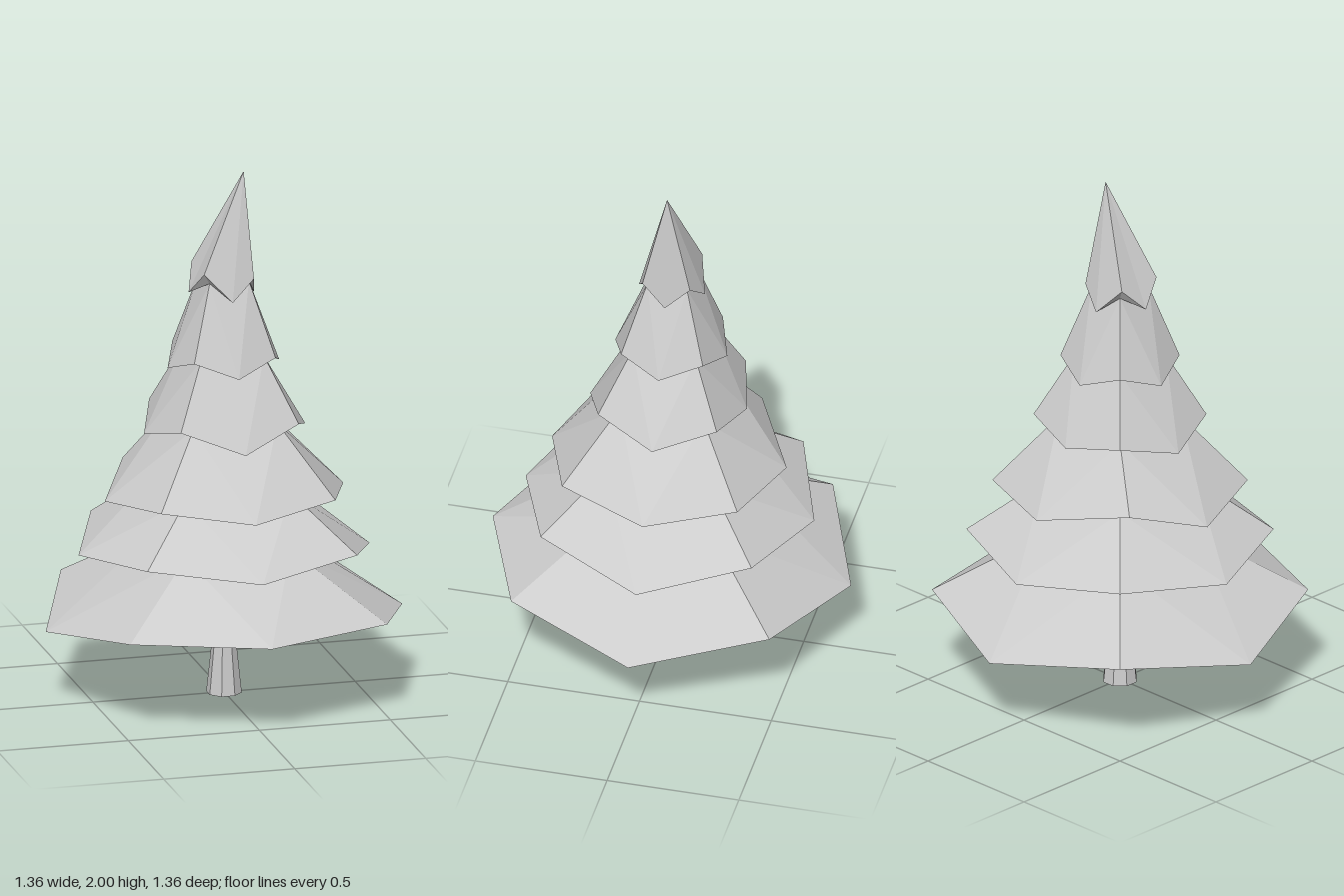
import * as THREE from 'three';

const material = new THREE.MeshStandardMaterial({ color: 0xcccccc, flatShading: true });

// Each tier: tips point along +x, +z, -x, -z; corners lie on the diagonals between them.
// r / y: reach and height of the four tips; c: [x, z, y] of the four corners;
// top: half-width and height of the square neck where the next tier begins.
const square = (s, y) => [[s, s, y], [-s, s, y], [-s, -s, y], [s, -s, y]];
const tiers = [
  { r: [0.68, 0.68, 0.68, 0.68], y: [0.285, 0.365, 0.285, 0.29], c: square(0.49, 0.365), top: [0.2, 0.59] },
  { r: [0.555, 0.555, 0.555, 0.54], y: [0.53, 0.575, 0.57, 0.565], c: square(0.4, 0.612), top: [0.2, 0.81] },
  { r: [0.455, 0.455, 0.455, 0.435], y: [0.77, 0.775, 0.77, 0.79],
    c: [[0.335, 0.335, 0.81], [-0.33, 0.335, 0.81], [-0.315, -0.265, 0.85], [0.335, -0.33, 0.81]], top: [0.16, 1.07] },
  { r: [0.31, 0.31, 0.305, 0.285], y: [1.01, 1.0, 1.02, 1.035], c: square(0.225, 1.08), top: [0.12, 1.32] },
  { r: [0.21, 0.215, 0.215, 0.21], y: [1.265, 1.265, 1.265, 1.265], c: square(0.155, 1.32), top: [0.075, 1.6] },
  { r: [0.115, 0.125, 0.135, 0.125], y: [1.53, 1.535, 1.55, 1.535],
    c: [[0.09, 0.09, 1.61], [-0.1, 0.09, 1.64], [-0.1, -0.09, 1.64], [0.09, -0.09, 1.61]], top: null },
];
const apex = [0.075, 2, 0];
const baseCentre = [0, 0.36, 0];

// Square neck corners, or one repeated point for a closed end
const neck = (top, point) => (top
  ? square(top[0], top[1]).map(([x, z, y]) => [x, y, z])
  : [point, point, point, point]);

function tierGeometry(tier, below) {
  const dirs = [[1, 0], [0, 1], [-1, 0], [0, -1]];
  const tips = dirs.map(([x, z], i) => [x * tier.r[i], tier.y[i], z * tier.r[i]]);
  const corners = tier.c.map(([x, z, y]) => [x, y, z]);
  const upper = neck(tier.top, apex);
  const lower = neck(below, baseCentre);
  const pos = [];
  const tri = (a, b, c) => pos.push(...a, ...b, ...c);

  for (let i = 0; i < 4; i++) {
    const p = (i + 3) % 4; // the corner before this tip
    const tip = tips[i];
    // sloping top of the branch
    tri(corners[p], upper[p], tip);
    tri(tip, upper[i], corners[i]);
    if (tier.top) tri(tip, upper[p], upper[i]);
    // underside
    tri(corners[p], tip, lower[p]);
    tri(tip, corners[i], lower[i]);
    if (below) tri(tip, lower[i], lower[p]);
  }
  const geometry = new THREE.BufferGeometry();
  geometry.setAttribute('position', new THREE.Float32BufferAttribute(pos, 3));
  geometry.computeVertexNormals();
  return geometry;
}

export function createModel() {
  const tree = new THREE.Group();
  tree.name = 'pineTree';

  // Eight-sided trunk with a narrow waist
  const profile = [[0, 0], [0.066, 0], [0.045, 0.2], [0.055, 0.38]];
  const trunk = new THREE.Mesh(
    new THREE.LatheGeometry(profile.map(([x, y]) => new THREE.Vector2(x, y)), 8, Math.PI / 8),
    material,
  );
  trunk.name = 'trunk';
  tree.add(trunk);

  // Stacked branch tiers
  const foliage = new THREE.Group();
  foliage.name = 'foliage';
  tiers.forEach((tier, i) => {
    const mesh = new THREE.Mesh(tierGeometry(tier, i ? tiers[i - 1].top : null), material);
    mesh.name = i === tiers.length - 1 ? 'treeTop' : `branchTier${i + 1}`;
    foliage.add(mesh);
  });
  tree.add(foliage);
  return tree;
}
